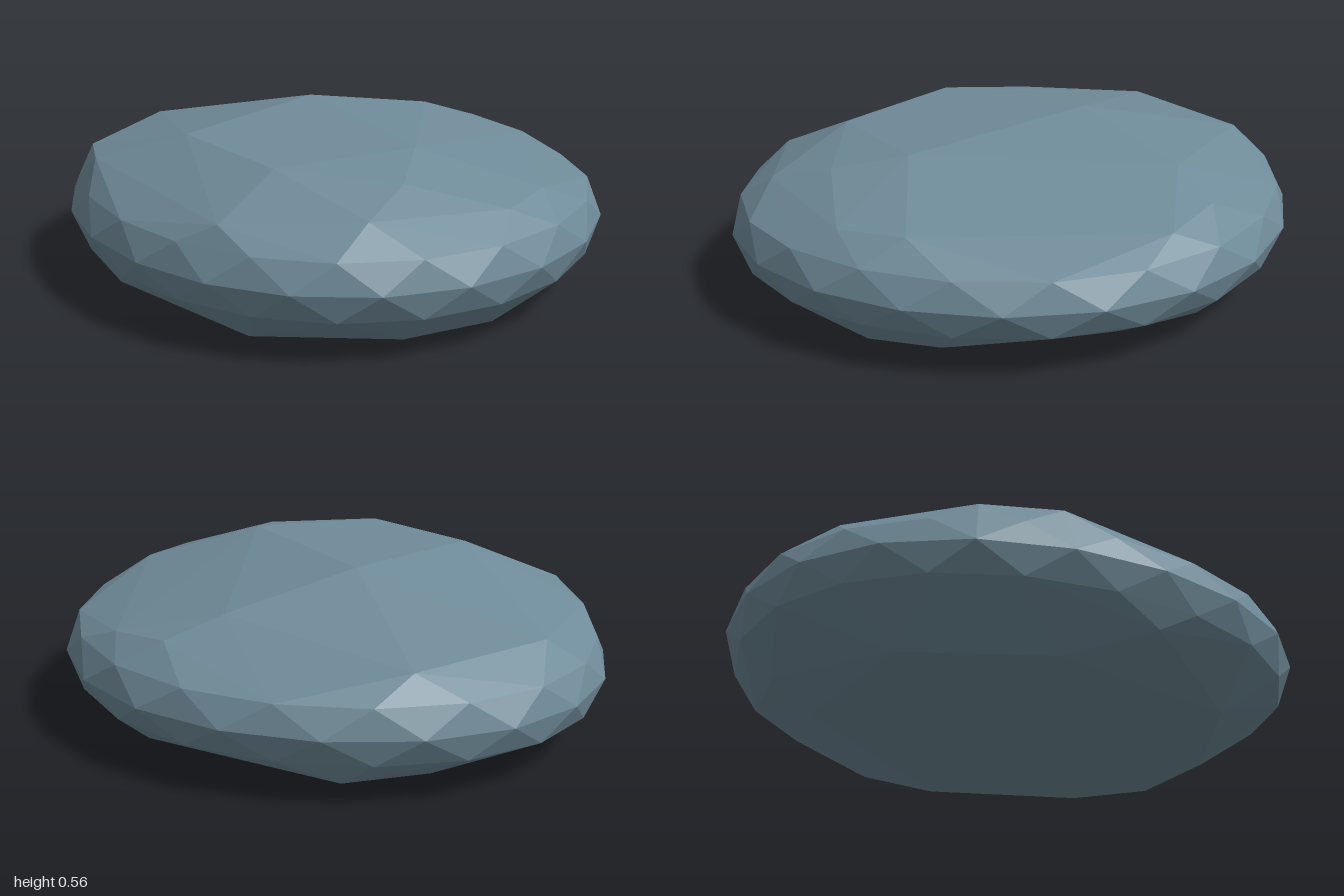
import * as THREE from 'three';
import { ConvexGeometry } from 'three/addons/geometries/ConvexGeometry.js';

// Twenty-sided horizontal oval whose front and back lean a little to the right
function ring(rx, rz, y, shift) {
  return Array.from({ length: 20 }, (_, i) => {
    const a = ((i + shift) / 20) * Math.PI * 2;
    const s = Math.sin(a), c = Math.cos(a);
    return [rx * s - 0.08 * c * c, y, rz * c + 0.02 * s * s];
  });
}

export function createModel() {
  const group = new THREE.Group();
  group.name = 'stone';
  const slate = new THREE.MeshStandardMaterial({ color: 0x6f8b99 });
  slate.name = 'slateBlueGrey';

  // Flat underside
  const base = [
    [0.185, -0.64], [0.61, 0.07], [0.38, 0.57], [0.17, 0.75],
    [-0.16, 0.75], [-0.57, 0.5], [-0.64, -0.2], [-0.395, -0.64],
  ].map(([x, z]) => [x, 0, z]);

  // Chipped corners just above the underside
  const chips = [
    [0.75, 0.06, -0.14], [0.38, 0.06, -0.75], [0.1, 0.06, -0.82], [-0.82, 0.08, 0.05],
    [-0.29, 0.085, 0.83], [-0.1, 0.06, 0.83], [0.45, 0.055, 0.66],
  ];

  // Wide rim with a bevel below and above
  const rim = [
    ...ring(0.865, 0.967, 0.145, 0.5),
    ...ring(0.905, 1, 0.237, 0),
    ...ring(0.865, 0.965, 0.33, 0.5),
  ];

  // Chiselled corners of the crown
  const crown = [
    [0.03, 0.56, -0.24], [0.03, 0.53, 0.49], [-0.45, 0.51, 0.44], [-0.54, 0.525, -0.04],
    [0.52, 0.48, -0.25], [0.72, 0.415, -0.22], [0.79, 0.39, 0.01], [-0.13, 0.48, 0.69],
    [0.16, 0.4, 0.84], [0.37, 0.41, 0.72], [-0.32, 0.42, 0.81], [-0.69, 0.395, 0.55],
    [-0.78, 0.42, -0.27], [-0.7, 0.4, -0.53], [-0.33, 0.42, -0.81], [0.18, 0.41, -0.84],
  ];

  const points = [...base, ...chips, ...rim, ...crown].map((p) => new THREE.Vector3(...p));
  const stone = new THREE.Mesh(new ConvexGeometry(points), slate);
  stone.name = 'stoneBody';
  group.add(stone);
  return group;
}
